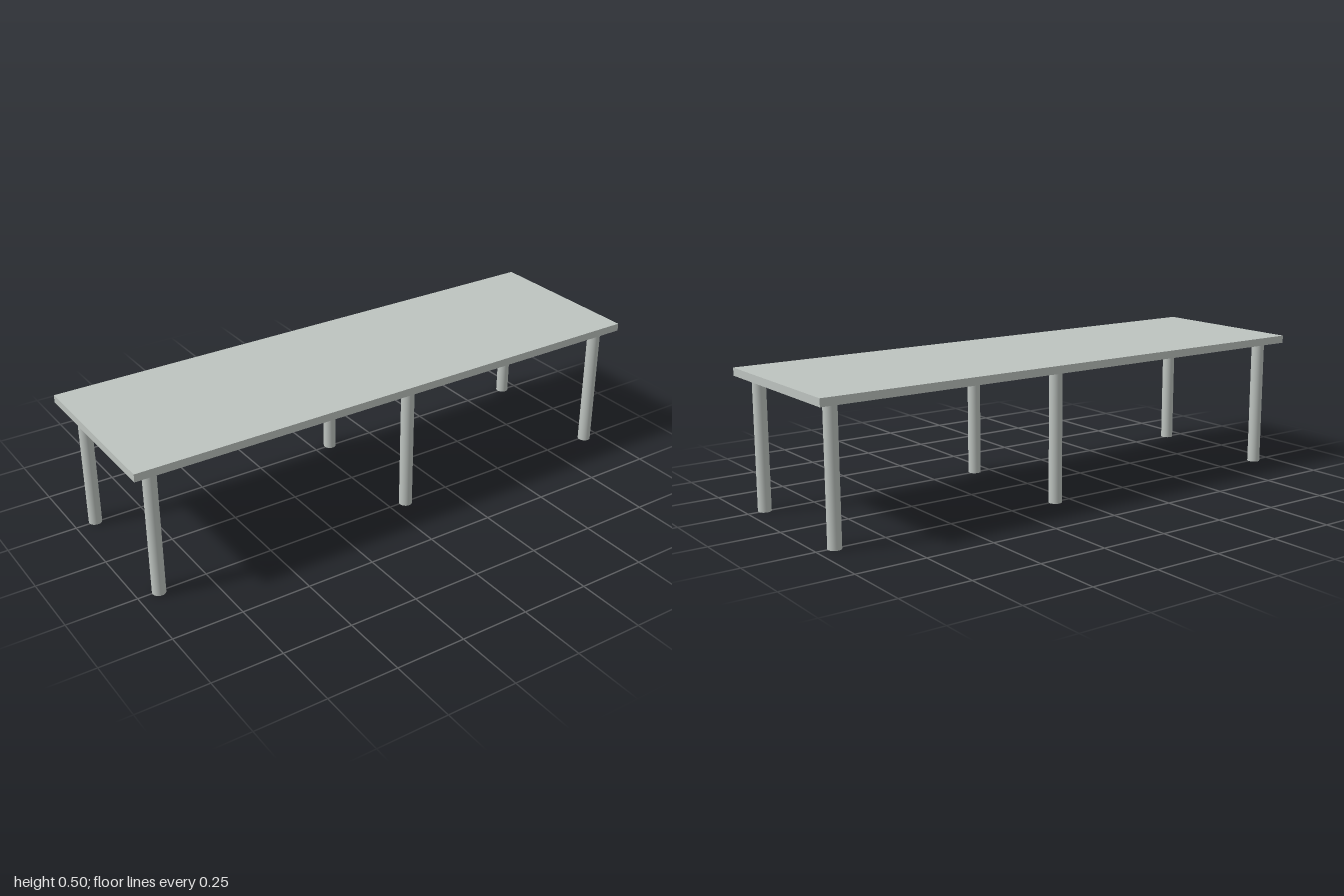
import * as THREE from 'three';

export function createModel() {
  const model = new THREE.Group();
  model.name = 'table';

  const greyPaint = new THREE.MeshStandardMaterial({ color: 0xbec4c0 });
  greyPaint.name = 'pale grey';
  // The legs are open tubes, so their inside shows too
  const legPaint = greyPaint;
  legPaint.side = THREE.DoubleSide;

  // Flat slab top
  const height = 0.5, thickness = 0.028;
  const top = new THREE.Mesh(new THREE.BoxGeometry(2, thickness, 0.626), greyPaint);
  top.name = 'tableTop';
  top.position.y = height - thickness / 2;
  model.add(top);

  // Three pairs of round legs, the middle pair set off centre
  const legHeight = height - thickness;
  const legGeometry = new THREE.CylinderGeometry(0.0235, 0.0235, legHeight, 32, 1, true);
  const legs = new THREE.Group();
  legs.name = 'legs';
  for (const [place, x] of [['right', -0.925], ['middle', 0.065], ['left', 0.936]]) {
    for (const [end, z] of [['Front', 0.254], ['Back', -0.254]]) {
      const leg = new THREE.Mesh(legGeometry, legPaint);
      leg.name = `${place}${end}Leg`;
      leg.position.set(x, legHeight / 2, z);
      legs.add(leg);
    }
  }
  model.add(legs);

  return model;
}
